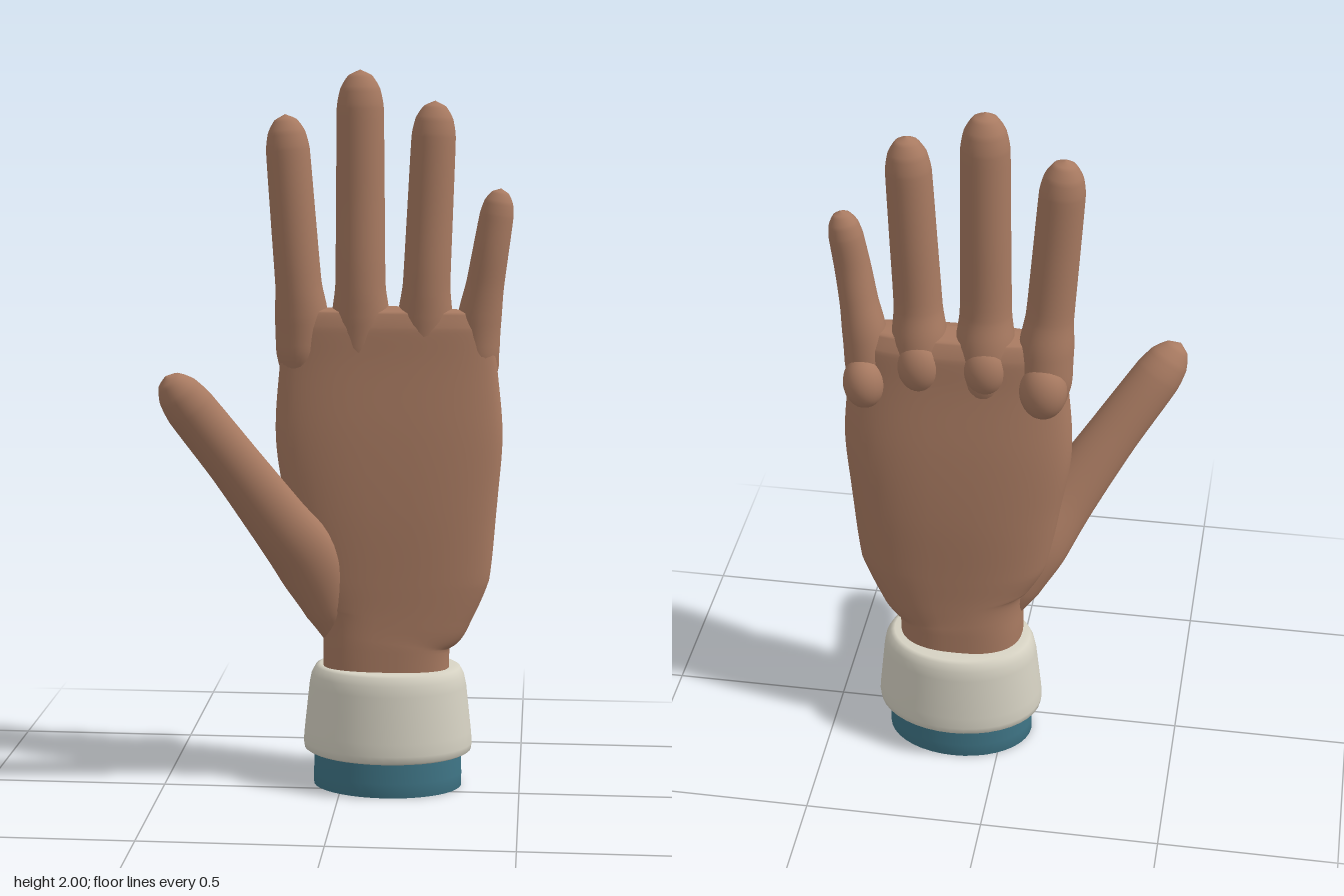
import * as THREE from 'three';

const skin = new THREE.MeshStandardMaterial({ color: 0xa87a61 });
skin.name = 'skin';
const cream = new THREE.MeshStandardMaterial({ color: 0xd6d2c3 });
cream.name = 'cuff cream';
const teal = new THREE.MeshStandardMaterial({ color: 0x3f7586 });
teal.name = 'sleeve teal';

// Smooth skin over sections [x, y, z, half width, half depth].
// power squares off the outline, back deepens its rear half.
function loft(sections, { power = 2, back = 1, rings = 48, sides = 32 } = {}) {
  const centres = new THREE.CatmullRomCurve3(sections.map(s => new THREE.Vector3(s[0], s[1], s[2])));
  const sizes = new THREE.CatmullRomCurve3(sections.map(s => new THREE.Vector3(s[3], s[4], 0)));
  const front = new THREE.Vector3(0, 0, 1);
  const positions = [], indices = [];
  const bend = v => Math.sign(v) * Math.abs(v) ** (2 / power);
  for (let i = 0; i <= rings; i++) {
    const t = i / rings;
    const c = centres.getPoint(t), size = sizes.getPoint(t);
    const along = centres.getTangent(t);
    const u = along.clone().cross(front).normalize();
    const w = u.clone().cross(along);
    for (let j = 0; j < sides; j++) {
      const a = (j / sides) * Math.PI * 2;
      const du = bend(Math.cos(a)) * Math.max(size.x, 0.0005);
      const dw = bend(Math.sin(a)) * Math.max(size.y, 0.0005) * (Math.sin(a) < 0 ? back : 1);
      const p = c.clone().addScaledVector(u, du).addScaledVector(w, dw);
      positions.push(p.x, p.y, p.z);
      if (i < rings) {
        const k = (j + 1) % sides, r = i * sides, n = r + sides;
        indices.push(r + j, n + j, r + k, r + k, n + j, n + k);
      }
    }
  }
  const geometry = new THREE.BufferGeometry();
  geometry.setAttribute('position', new THREE.Float32BufferAttribute(positions, 3));
  geometry.setIndex(indices);
  geometry.computeVertexNormals();
  return geometry;
}

// Rounded end: last sections from full radius down to a point
function roundTip(from, to, r, depth) {
  return [[0, 1], [0.5, 0.85], [0.85, 0.5], [1, 0]].map(([t, s]) => [
    from[0] + (to[0] - from[0]) * t,
    from[1] + (to[1] - from[1]) * t,
    from[2] + (to[2] - from[2]) * t,
    r * s, depth * s,
  ]);
}

export function createModel() {
  const group = new THREE.Group();
  const add = (name, geometry, material) => {
    const mesh = new THREE.Mesh(geometry, material);
    mesh.name = name;
    group.add(mesh);
    return mesh;
  };

  // Wrist and palm: [height, right edge, left edge, front depth]
  const palm = [
    [0.28, -0.05, 0.30, 0.088], [0.42, -0.052, 0.303, 0.086], [0.5, -0.08, 0.36, 0.083],
    [0.6, -0.12, 0.41, 0.083], [0.8, -0.155, 0.43, 0.083], [1.0, -0.185, 0.443, 0.075],
    [1.2, -0.173, 0.425, 0.06], [1.3, -0.163, 0.412, 0.055], [1.345, -0.135, 0.385, 0.042],
    [1.36, 0.125, 0.125, 0],
  ].map(([y, a, b, d]) => [(a + b) / 2, y, -0.05, (b - a) / 2, d]);
  add('palm', loft(palm, { power: 2.5, back: 1.5, rings: 72, sides: 48 }), skin);

  // Fingers: base x, tip x, tip y, base radius, tip radius, tip z
  const fingers = [
    ['indexFinger', -0.112, -0.156, 1.88, 0.064, 0.06, -0.05],
    ['middleFinger', 0.05, 0.048, 2.0, 0.069, 0.064, -0.056],
    ['ringFinger', 0.226, 0.252, 1.917, 0.065, 0.06, -0.054],
    ['littleFinger', 0.372, 0.432, 1.682, 0.052, 0.046, -0.045],
  ];
  for (const [name, bx, tx, ty, br, tr, tz] of fingers) {
    const xAt = y => bx + (tx - bx) * (y - 1.3) / (ty - 1.3);
    const low = ty - tr * 1.6;
    const mid = (1.42 + low) / 2;
    add(name, loft([
      [bx, 1.12, -0.07, br * 0.7, br * 0.6],
      [bx, 1.24, -0.07, br * 1.15, br * 1.12],
      [xAt(1.33), 1.33, -0.064, br * 1.15, br * 1.1],
      [xAt(1.42), 1.42, -0.054, br, br * 0.98],
      [xAt(mid), mid, tz, (br + tr) / 2, (br + tr) / 2 * 0.94],
      ...roundTip([xAt(low), low, tz], [tx, ty, tz], tr, tr * 0.93),
    ]), skin);
  }

  // Thumb with the fleshy base of the palm
  add('thumb', loft([
    [0.0, 0.4, -0.05, 0.03, 0.03],
    [-0.03, 0.51, -0.04, 0.073, 0.06],
    [-0.085, 0.645, -0.008, 0.096, 0.07],
    [-0.165, 0.77, 0.05, 0.084, 0.066],
    [-0.28, 0.945, 0.12, 0.073, 0.062],
    ...roundTip([-0.39, 1.105, 0.183], [-0.449, 1.195, 0.222], 0.068, 0.06),
  ]), skin);

  // Knuckles on the back of the hand
  const knuckles = [
    [-0.112, 1.22, -0.11, 0.065, 0.06], [0.045, 1.27, -0.108, 0.06, 0.052],
    [0.222, 1.265, -0.108, 0.06, 0.052], [0.372, 1.2, -0.11, 0.058, 0.06],
  ];
  for (const [x, y, z, r, d] of knuckles) {
    const knuckle = add('knuckle', new THREE.SphereGeometry(1, 24, 16), skin);
    knuckle.position.set(x, y, z);
    knuckle.scale.set(r, r * 1.3, d);
  }

  // Oval turned parts around the wrist
  const oval = (name, points, material, depth) => {
    const mesh = add(name, new THREE.LatheGeometry(points.map(p => new THREE.Vector2(...p)), 40), material);
    mesh.position.set(0.127, 0, -0.074);
    mesh.scale.z = depth;
  };
  oval('cuff', [
    [0.14, 0.1], [0.225, 0.1], [0.235, 0.106], [0.238, 0.125], [0.235, 0.16], [0.221, 0.29],
    [0.215, 0.32], [0.203, 0.342], [0.19, 0.348], [0.14, 0.348],
  ], cream, 0.75);
  oval('sleeve', [
    [0, 0.03], [0.19, 0.03], [0.2, 0], [0.209, 0], [0.209, 0.04], [0.206, 0.11],
  ], teal, 0.73);

  return group;
}
